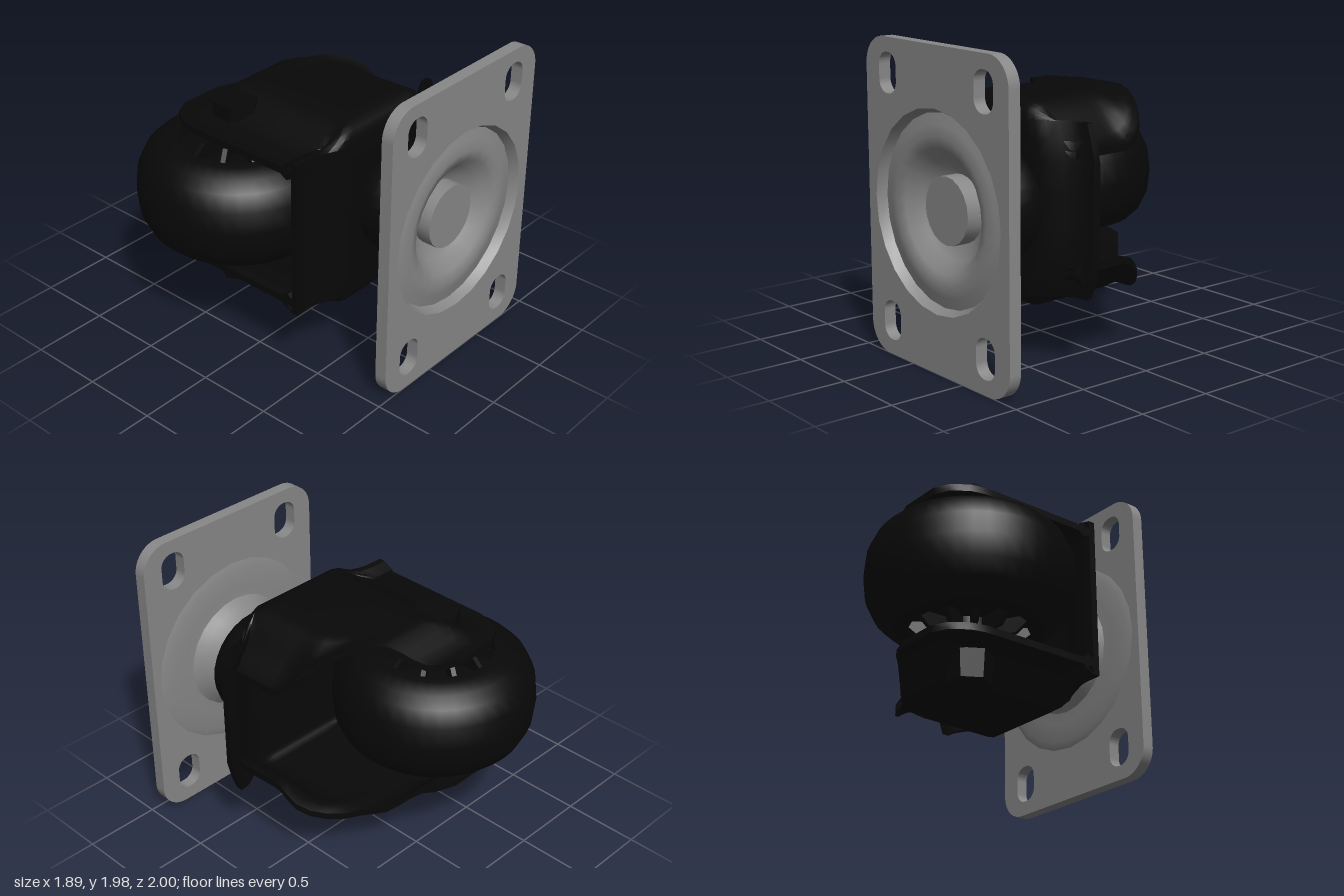
import * as THREE from 'three';
import { toCreasedNormals } from 'three/addons/utils/BufferGeometryUtils.js';

const CX = 0.25, CY = 0.99;            // swivel axis
const WX = -0.3, WZ = -0.35;           // wheel axle
const steel = new THREE.MeshStandardMaterial({ color: 0x888888, side: THREE.DoubleSide });
const black = new THREE.MeshStandardMaterial({ color: 0x080808, side: THREE.DoubleSide });

function add(parent, name, geo, mat, x = 0, y = 0, z = 0) {
  const mesh = new THREE.Mesh(toCreasedNormals(geo, 0.6), mat);
  mesh.name = name;
  mesh.position.set(x, y, z);
  parent.add(mesh);
  return mesh;
}

const lathe = (pts, seg) => new THREE.LatheGeometry(pts.map(p => new THREE.Vector2(...p)), seg);

// Rounded rectangle outline, used for the plate and its slots
function roundRect(path, cx, cy, hw, hh, r) {
  path.moveTo(cx + hw, cy - hh + r);
  path.lineTo(cx + hw, cy + hh - r);
  path.absarc(cx + hw - r, cy + hh - r, r, 0, Math.PI / 2);
  path.absarc(cx - hw + r, cy + hh - r, r, Math.PI / 2, Math.PI);
  path.absarc(cx - hw + r, cy - hh + r, r, Math.PI, Math.PI * 1.5);
  path.absarc(cx + hw - r, cy - hh + r, r, Math.PI * 1.5, Math.PI * 2);
  return path;
}

function mountingPlate() {
  const shape = roundRect(new THREE.Shape(), CX, CY, 0.695, 0.99, 0.18);
  for (const x of [-0.22, 0.72]) for (const y of [0.22, 1.765])
    shape.holes.push(roundRect(new THREE.Path(), x, y, 0.088, 0.125, 0.08));
  shape.holes.push(new THREE.Path().absarc(CX, CY, 0.62, 0, Math.PI * 2, true));
  return new THREE.ExtrudeGeometry(shape, { depth: 0.08, bevelEnabled: false, curveSegments: 12 });
}

// Piecewise linear lookup over [key, value] pairs
function lookup(table, k) {
  for (let i = 1; i < table.length; i++) {
    const [a, va] = table[i - 1], [b, vb] = table[i];
    if (k <= b) return va + (vb - va) * THREE.MathUtils.clamp((k - a) / (b - a), 0, 1);
  }
  return table[table.length - 1][1];
}

const LEFT_EDGE = [[-0.71, -0.12], [-0.66, 0.02], [-0.5, 0.2], [-0.37, 0.36], [-0.18, 0.73], [-0.1, 0.775], [0.2, 0.79], [0.49, 0.8]];
const RIGHT_EDGE = [[-0.71, -0.4], [-0.66, -0.5], [-0.55, -0.58], [-0.45, -0.6], [0.49, -0.6]];

// Domed U-shaped sheet: cross-sections along the U, each a closed loop of outer and inner skin
function forkShell() {
  const rows = [];                                     // [height from centre, z, bend angle]
  for (let i = 0; i <= 22; i++) rows.push([0.63, -0.71 + i * 1.1 / 22, 0]);
  for (let i = 1; i <= 4; i++) {
    const a = i * Math.PI / 8;
    rows.push([0.53 + 0.1 * Math.cos(a), 0.39 + 0.1 * Math.sin(a), a]);
  }
  for (const h of [0.42, 0.3, 0.1]) rows.push([h, 0.49, Math.PI / 2]);
  for (let i = rows.length - 1; i >= 0; i--) rows.push([-rows[i][0], rows[i][1], Math.PI - rows[i][2]]);

  const N = 24, pos = [], idx = [], smooth = THREE.MathUtils.smoothstep;
  const ring = ([h, z, a], thick) => {
    const x0 = lookup(RIGHT_EDGE, z), bend = Math.sin(a);
    const x1 = lookup(LEFT_EDGE, z) + 0.08 * smooth(0.6 - Math.abs(h), 0, 0.3);
    const dropRight = 0.15 - 0.08 * bend + 0.1 * Math.abs(Math.sin(2 * a));
    const dropLeft = (0.26 - 0.09 * bend) * smooth(z, -0.32, -0.02);
    const point = (t, depth) => {
      const x = x0 + (x1 - x0) * t;
      const drop = Math.max(
        dropRight * (1 - smooth(x - x0, 0.12, 0.5 - 0.15 * bend)),
        dropLeft * (1 - smooth(x1 - x, 0.02, 0.36)),
        0.15 * (1 - smooth(z, -0.63, -0.43))) + depth;
      pos.push(x, CY + h - Math.cos(a) * drop, z - bend * drop);
    };
    for (let i = 0; i <= N; i++) point(i / N, 0);
    for (let i = N; i >= 0; i--) point(i / N, thick);
  };
  ring(rows[0], 0);                                    // closes the sheet's end
  rows.forEach(r => ring(r, 0.045));
  ring(rows[rows.length - 1], 0);
  const M = 2 * N + 2;
  for (let j = 0; j < rows.length + 1; j++) for (let i = 0; i < M; i++) {
    const a = j * M + i, b = j * M + (i + 1) % M;
    idx.push(a, a + M, b, b, a + M, b + M);
  }
  const geo = new THREE.BufferGeometry();
  geo.setAttribute('position', new THREE.Float32BufferAttribute(pos, 3));
  geo.setIndex(idx);
  return geo;
}

// Radial hub rib with a sloping outer end
function hubRib() {
  const shape = new THREE.Shape([[0.12, 0.3], [0.37, 0.3], [0.37, 0.34], [0.3, 0.4], [0.12, 0.4]].map(p => new THREE.Vector2(...p)));
  return new THREE.ExtrudeGeometry(shape, { depth: 0.03, bevelEnabled: false }).translate(0, 0, -0.015);
}

export function createModel() {
  const model = new THREE.Group();

  // Mounting plate with its pressed bearing dish and rivet
  add(model, 'mountingPlate', mountingPlate(), steel, 0, 0, 0.92);
  const dish = lathe([
    [0.62, 1.0], [0.59, 0.94], [0.52, 0.955], [0.45, 0.97], [0.38, 0.95], [0.31, 0.87], [0.21, 0.81], [0, 0.81],
    [0, 0.77], [0.2, 0.77], [0.28, 0.81], [0.34, 0.86], [0.39, 0.9], [0.46, 0.905], [0.59, 0.905], [0.64, 0.92],
  ], 24).rotateX(Math.PI / 2);
  add(model, 'bearingDish', dish, steel, CX, CY, 0);
  add(model, 'rivetHead', new THREE.CylinderGeometry(0.21, 0.21, 0.12, 20).rotateX(Math.PI / 2), steel, CX, CY, 0.86);

  // Swivel neck
  add(model, 'swivelPin', new THREE.CylinderGeometry(0.125, 0.125, 0.1, 20).rotateX(Math.PI / 2), black, CX, CY, 0.74);
  const collar = lathe([[0, 0.44], [0.33, 0.44], [0.355, 0.51], [0.36, 0.56], [0.36, 0.71], [0.34, 0.75], [0, 0.75]], 28);
  add(model, 'swivelCollar', collar.rotateX(Math.PI / 2), black, CX, CY, 0);

  add(model, 'fork', forkShell(), black);

  // Wheel with ribbed hub on both sides
  const wheel = new THREE.Group();
  wheel.name = 'wheel';
  wheel.position.set(WX, CY, WZ);
  model.add(wheel);
  const half = [[0, 0.4], [0.14, 0.4], [0.14, 0.3], [0.35, 0.3], [0.37, 0.34], [0.43, 0.34], [0.52, 0.305], [0.585, 0.245], [0.635, 0.14]];
  const profile = [...half.map(([r, h]) => [r, -h]), [0.65, 0], ...half.slice().reverse()];
  add(wheel, 'tyre', lathe(profile, 40), black);
  for (const side of [0, Math.PI]) for (let i = 0; i < 12; i++)
    add(wheel, 'hubRib', hubRib(), black).rotation.set(side, i * Math.PI / 6, 0);

  // Axle with hexagonal ends
  add(model, 'axle', new THREE.CylinderGeometry(0.07, 0.07, 1.14, 16), black, WX, CY, WZ);
  add(model, 'boltHead', new THREE.CylinderGeometry(0.155, 0.155, 0.1, 6), black, WX, 1.54, WZ);
  add(model, 'nut', new THREE.CylinderGeometry(0.15, 0.135, 0.18, 6).rotateY(Math.PI / 6), black, WX, 0.4, WZ);

  return model;
}
